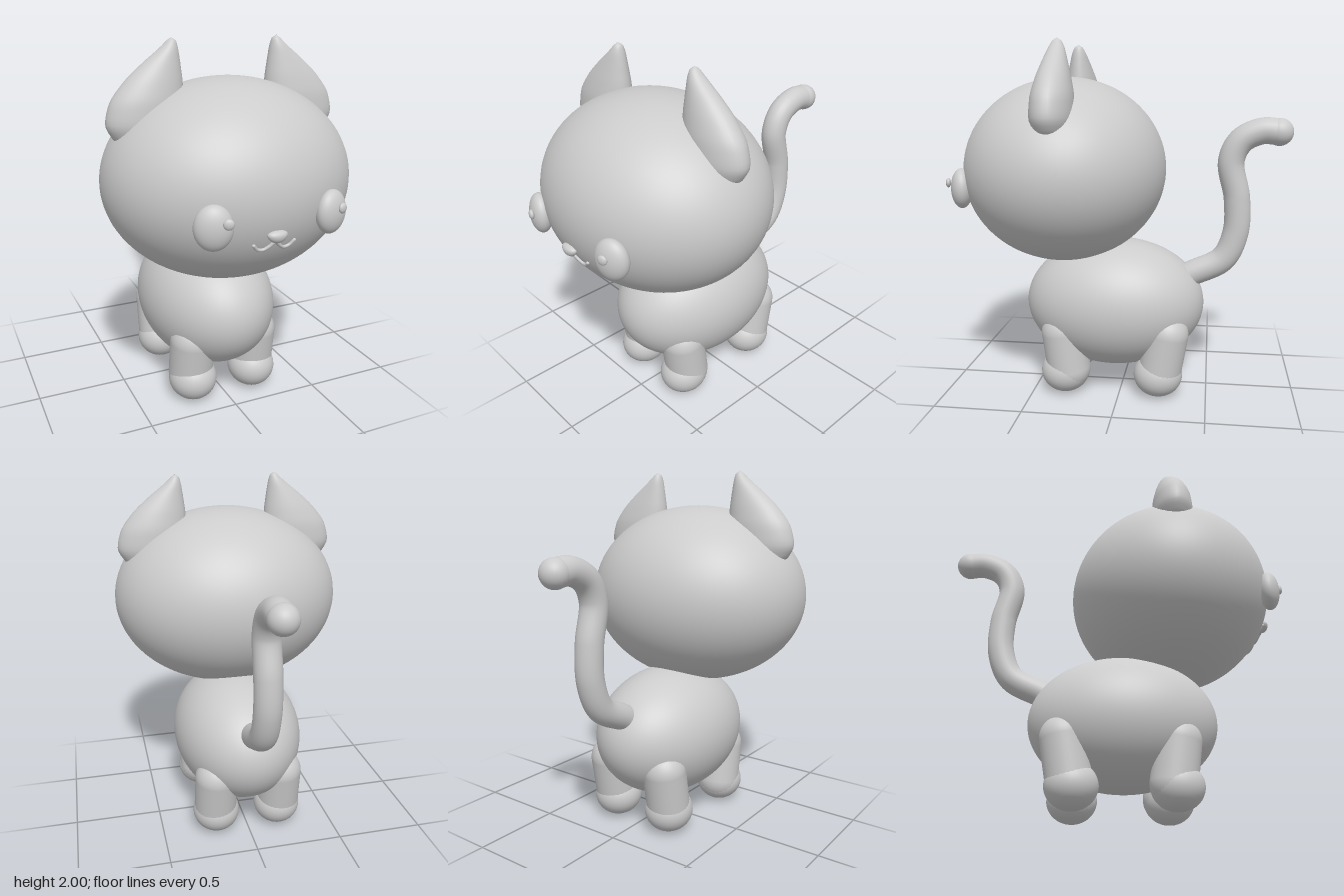
import * as THREE from 'three';

const material = new THREE.MeshStandardMaterial({ color: 0xcccccc, side: THREE.DoubleSide });
const V = (x, y, z) => new THREE.Vector3(x, y, z);

const HEAD = { c: V(0, 1.285, 0.33), r: V(0.665, 0.523, 0.575) };

// z of the head's front surface at a given x, y
function faceZ(x, y) {
  const u = x / HEAD.r.x, v = (y - HEAD.c.y) / HEAD.r.y;
  return HEAD.c.z + HEAD.r.z * Math.sqrt(Math.max(0, 1 - u * u - v * v));
}

function add(parent, name, geometry) {
  const mesh = new THREE.Mesh(geometry, material);
  mesh.name = name;
  parent.add(mesh);
  return mesh;
}

function ellipsoid(parent, name, center, radii, segments = 32) {
  const mesh = add(parent, name, new THREE.SphereGeometry(1, segments, Math.round(segments * 0.75)));
  mesh.position.copy(center);
  mesh.scale.copy(radii);
  return mesh;
}

// Capsule whose end spheres are centred on a and b
function limb(parent, name, a, b, radius) {
  const axis = b.clone().sub(a);
  const mesh = add(parent, name, new THREE.CapsuleGeometry(radius, axis.length(), 12, 32));
  mesh.position.copy(a).add(b).multiplyScalar(0.5);
  mesh.quaternion.setFromUnitVectors(V(0, 1, 0), axis.normalize());
  return mesh;
}

// Ear: stacked ellipses, from tip to the base hidden in the head
function earGeometry(side) {
  // y, inner x, outer x, half depth
  const rows = [
    [2.0, 0.288, 0.292, 0.002], [1.985, 0.268, 0.312, 0.024], [1.95, 0.257, 0.35, 0.042],
    [1.88, 0.246, 0.44, 0.065], [1.8, 0.236, 0.53, 0.088], [1.7, 0.23, 0.607, 0.108],
    [1.6, 0.235, 0.632, 0.112], [1.52, 0.26, 0.595, 0.095], [1.46, 0.34, 0.5, 0.05],
  ];
  const middle = new THREE.CatmullRomCurve3(rows.map(([y, a, b]) => V((a + b) / 2, y, 0)));
  const size = new THREE.CatmullRomCurve3(rows.map(([y, a, b, d]) => V((b - a) / 2, d, 0)));
  const steps = 32, around = 32, positions = [], index = [];
  for (let i = 0; i <= steps; i++) {
    const m = middle.getPoint(i / steps), s = size.getPoint(i / steps);
    for (let j = 0; j < around; j++) {
      const t = (j / around) * Math.PI * 2;
      positions.push(side * (m.x + s.x * Math.cos(t)), m.y, 0.31 + s.y * Math.sin(t));
      if (i === steps) continue;
      const a = i * around + j, b = i * around + (j + 1) % around;
      const c = a + around, d = b + around;
      if (side > 0) index.push(a, b, c, b, d, c);
      else index.push(a, c, b, b, c, d);
    }
  }
  const geometry = new THREE.BufferGeometry();
  geometry.setAttribute('position', new THREE.Float32BufferAttribute(positions, 3));
  geometry.setIndex(index);
  geometry.computeVertexNormals();
  return geometry;
}

export function createModel() {
  const model = new THREE.Group();
  model.name = 'kitten';

  ellipsoid(model, 'body', V(0, 0.505, 0.048), V(0.375, 0.375, 0.523), 64);
  ellipsoid(model, 'head', HEAD.c, HEAD.r, 72);

  for (const [side, label] of [[1, 'left'], [-1, 'right']]) {
    add(model, label + 'Ear', earGeometry(side));

    // Eye turned outward to follow the face, with a small glint
    const eye = ellipsoid(model, label + 'Eye', V(side * 0.31, 1.203, 0.853), V(0.093, 0.11, 0.058));
    eye.rotation.y = side * 0.35;
    const glint = ellipsoid(model, label + 'EyeGlint',
      V(side * 0.31 + (side > 0 ? 0.02 : 0.04), 1.236, side > 0 ? 0.92 : 0.928), V(0.026, 0.026, 0.014), 16);
    glint.rotation.y = side * 0.35;

    // Legs with rounded paws
    limb(model, label + 'FrontLeg', V(side * 0.19, 0.14, 0.295), V(side * 0.19, 0.36, 0.325), 0.125);
    ellipsoid(model, label + 'FrontPaw', V(side * 0.185, 0.125, 0.315), V(0.135, 0.125, 0.14));
    limb(model, label + 'HindLeg', V(side * 0.19, 0.14, -0.235), V(side * 0.19, 0.37, -0.275), 0.122);
    ellipsoid(model, label + 'HindPaw', V(side * 0.185, 0.125, -0.225), V(0.135, 0.125, 0.14));
  }

  // Nose: ellipsoid flattened above and narrowed below
  const noseGeometry = new THREE.SphereGeometry(1, 24, 18);
  const p = noseGeometry.attributes.position;
  for (let i = 0; i < p.count; i++) {
    const y = p.getY(i);
    p.setXYZ(i, p.getX(i) * (0.052 + 0.008 * y), y * (y > 0 ? 0.026 : 0.036), p.getZ(i) * 0.03);
  }
  noseGeometry.computeVertexNormals();
  add(model, 'nose', noseGeometry).position.set(0, 1.135, 0.887);

  // Mouth: a curved double smile lying on the face
  const smile = [[-0.108, 1.09], [-0.085, 1.066], [-0.055, 1.06], [-0.025, 1.078], [0, 1.1],
    [0.025, 1.078], [0.055, 1.06], [0.085, 1.066], [0.108, 1.09]];
  const mouth = new THREE.CatmullRomCurve3(smile.map(([x, y]) => V(x, y, faceZ(x, y) + 0.004)));
  add(model, 'mouth', new THREE.TubeGeometry(mouth, 48, 0.009, 10));
  for (const end of [0, 1]) ellipsoid(model, 'mouthCorner', mouth.getPoint(end), V(0.009, 0.009, 0.009), 10);

  // Tail: S-shaped tube with a rounded tip
  const tail = new THREE.CatmullRomCurve3([
    [0.64, -0.32], [0.685, -0.41], [0.775, -0.58], [0.93, -0.648], [1.13, -0.65],
    [1.34, -0.612], [1.455, -0.665], [1.51, -0.78], [1.505, -0.873],
  ].map(([y, z]) => V(0, y, z)));
  add(model, 'tail', new THREE.TubeGeometry(tail, 72, 0.074, 24));
  ellipsoid(model, 'tailTip', tail.getPoint(1), V(0.077, 0.077, 0.077), 24);

  return model;
}
